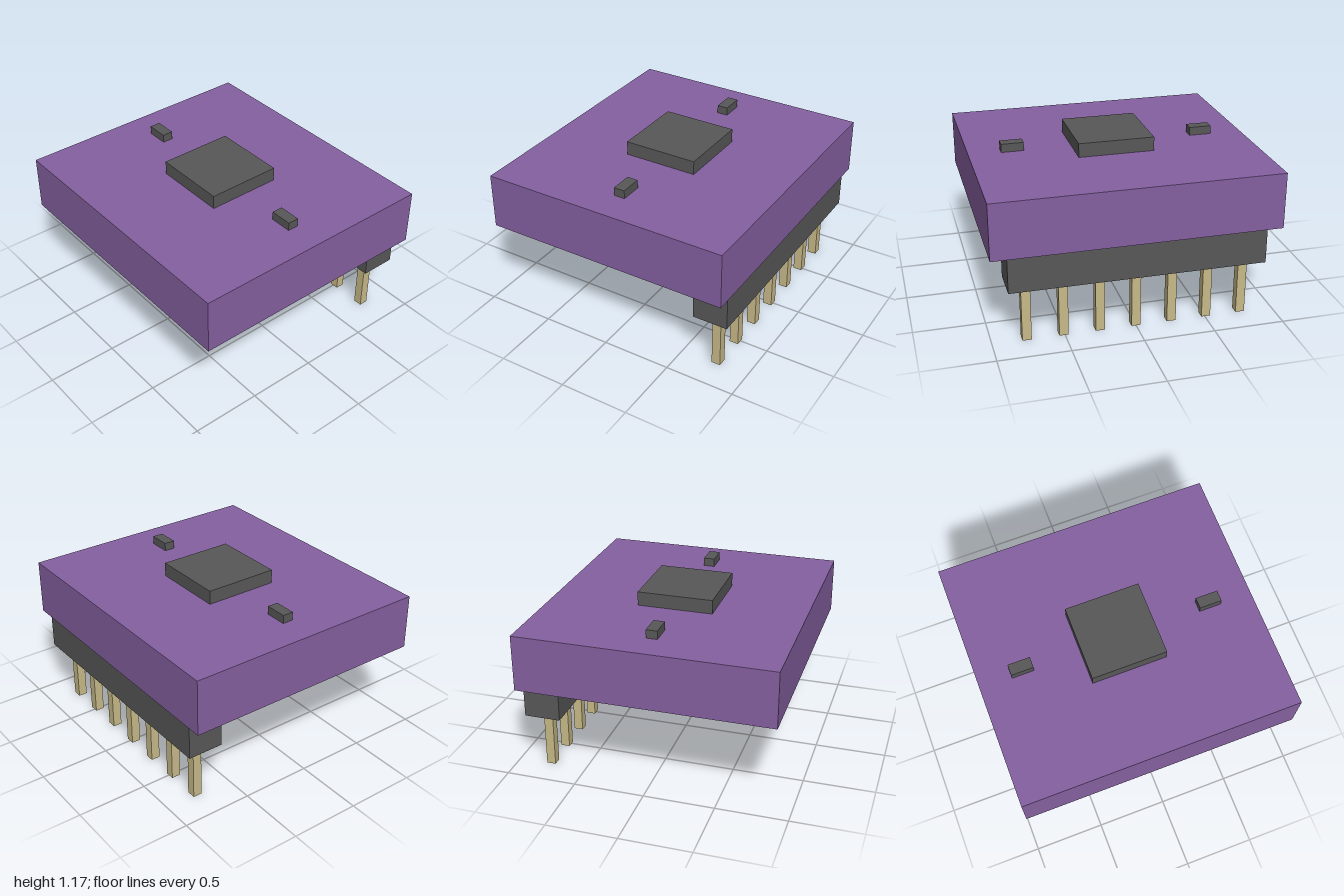
import * as THREE from 'three';

const mat = (name, color) => {
  const m = new THREE.MeshStandardMaterial({ color });
  m.name = name;
  return m;
};

export function createModel() {
  const purple = mat('purple board', 0x8560a0);
  const grey = mat('dark grey plastic', 0x585858);
  const gold = mat('pale gold metal', 0xc8ba88);

  const model = new THREE.Group();
  model.name = 'breakoutBoard';

  // box standing on height y, centred on x and z
  const box = (name, material, w, h, d, x, y, z) => {
    const mesh = new THREE.Mesh(new THREE.BoxGeometry(w, h, d), material);
    mesh.name = name;
    mesh.position.set(x, y + h / 2, z);
    model.add(mesh);
  };

  // board with the main chip on top
  box('board', purple, 2, 0.4, 1.8, 0, 0.67, 0);
  box('mainChip', grey, 0.54, 0.1, 0.54, 0, 1.07, 0);

  // small components either side of the chip
  for (const [side, s] of [['left', 1], ['right', -1]]) {
    box(`${side}Component`, grey, 0.16, 0.06, 0.08, s * 0.69, 1.07, 0);
  }

  // pin header under the back edge
  box('headerBlock', grey, 1.78, 0.25, 0.254, 0, 0.42, -0.762);
  for (let i = -3; i <= 3; i++) {
    box(`pin${i + 4}`, gold, 0.064, 0.42, 0.064, i * 0.254, 0, -0.762);
  }

  return model;
}
